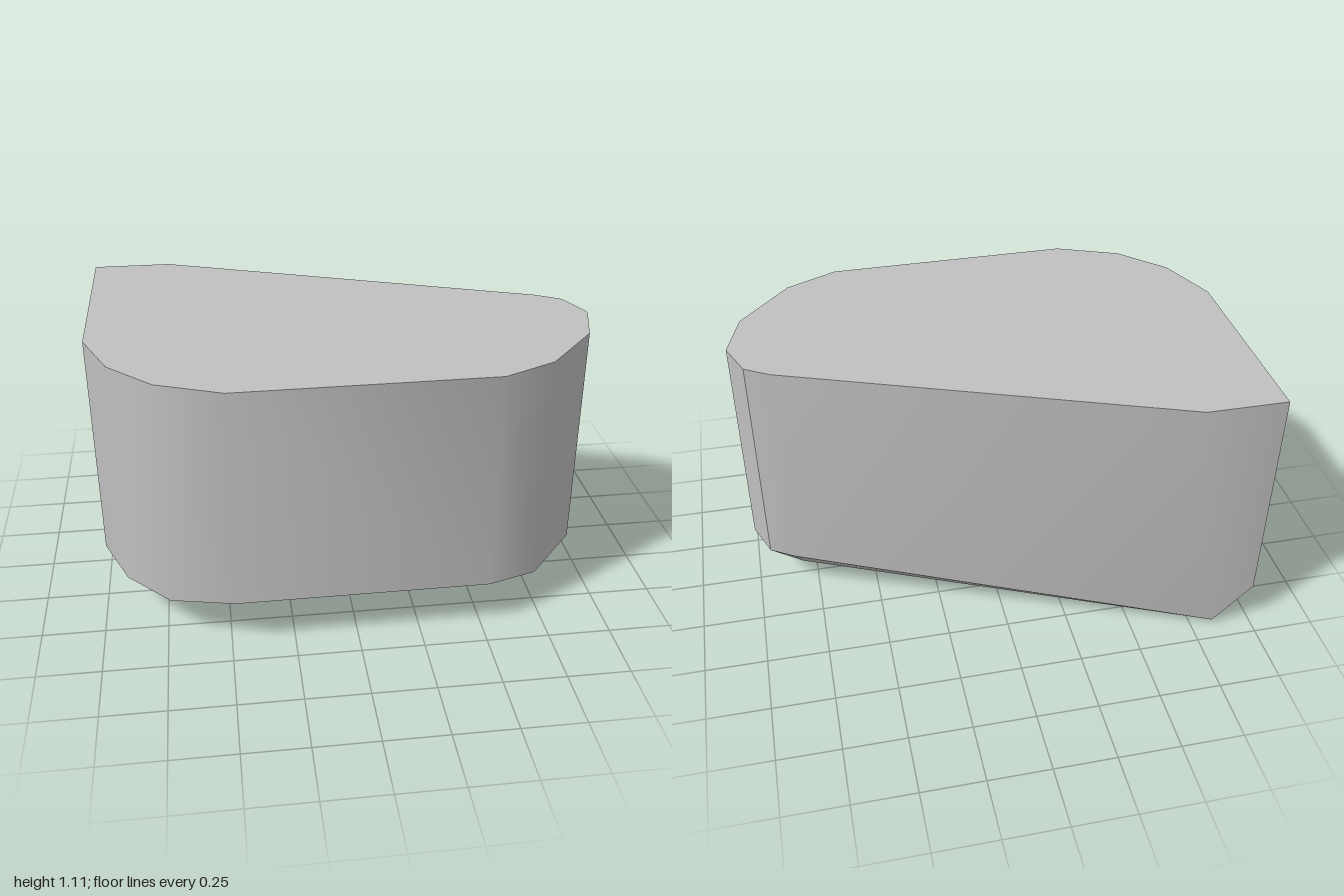
import * as THREE from 'three';
import { ConvexGeometry } from 'three/addons/geometries/ConvexGeometry.js';
import { toCreasedNormals } from 'three/addons/utils/BufferGeometryUtils.js';

const TOP = 1.11;

// Wall outline as [x, z, height of the wall's lower edge]
const outline = [
  [-1, -0.67, 0.18], [-0.68, -0.67, null], [0.84, -0.1, 0.185], [0.94, -0.04, 0.185],
  [1, 0.11, 0.185], [0.94, 0.32, 0.18], [0.73, 0.56, 0.175], [0.52, 0.66, 0.205],
  [-0.48, 0.67, 0.21], [-0.73, 0.57, 0.175], [-0.9, 0.4, 0.18], [-1, 0.16, 0.18],
];

// Corners of the small underside, as [x, y, z]
const underside = [
  [-0.84, 0.02, -0.67], [0.81, 0, 0.07], [0.79, 0, 0.24], [-0.8, 0, 0.24],
];

export function createModel() {
  const group = new THREE.Group();
  group.name = 'bevelledBlock';

  const grey = new THREE.MeshStandardMaterial({ color: 0xc0c0c0 });
  grey.name = 'light grey';

  // Flat top, upright walls and tapered base form one convex solid
  const points = underside.map((p) => new THREE.Vector3(...p));
  for (const [x, z, low] of outline) {
    points.push(new THREE.Vector3(x, TOP, z));
    if (low !== null) points.push(new THREE.Vector3(x, low, z));
  }

  // Gentle turns are smooth, sharper ones stay crisp
  const geometry = toCreasedNormals(new ConvexGeometry(points), THREE.MathUtils.degToRad(30));
  const body = new THREE.Mesh(geometry, grey);
  body.name = 'body';
  group.add(body);
  return group;
}
